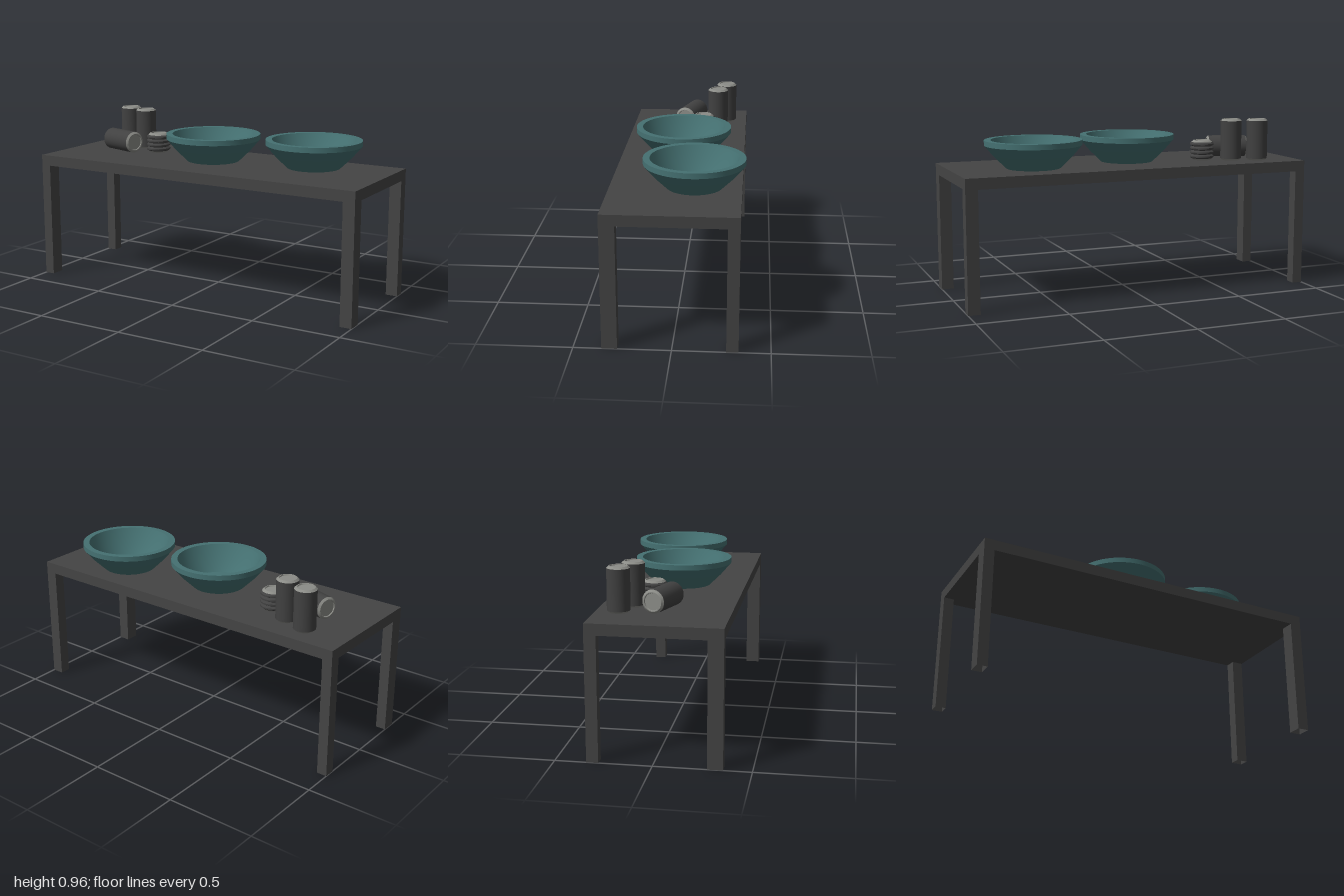
import * as THREE from 'three';
import { toCreasedNormals } from 'three/addons/utils/BufferGeometryUtils.js';

const material = (name, color, side = THREE.FrontSide) => {
  const m = new THREE.MeshStandardMaterial({ color, side });
  m.name = name;
  return m;
};

// Turned shape from [radius, y] pairs, running up the outside, with sharp profile corners
function turned(name, points, mat, segments = 32) {
  const lathe = new THREE.LatheGeometry(points.map(([r, y]) => new THREE.Vector2(r, y)), segments);
  const mesh = new THREE.Mesh(toCreasedNormals(lathe, 0.4), mat);
  mesh.name = name;
  return mesh;
}

export function createModel() {
  const model = new THREE.Group();
  const tableGrey = material('table grey', 0x444444, THREE.DoubleSide);
  const bowlTeal = material('bowl teal', 0x457172, THREE.DoubleSide);
  const canGrey = material('can grey', 0x414141);
  const lidGrey = material('lid grey', 0x8b8c87);

  // Table top
  const top = new THREE.Mesh(new THREE.BoxGeometry(2, 0.06, 0.692), tableGrey);
  top.name = 'tableTop';
  top.position.set(0, 0.69, 0.009);
  model.add(top);

  // Hollow legs, open at both ends
  for (const [x0, x1] of [[-1, -0.943], [0.933, 1]]) {
    for (const [z0, z1] of [[-0.337, -0.275], [0.275, 0.355]]) {
      const geo = new THREE.BoxGeometry(x1 - x0, 0.66, z1 - z0);
      const index = Array.from(geo.index.array);
      index.splice(12, 12);
      geo.setIndex(index);
      geo.clearGroups();
      const leg = new THREE.Mesh(geo, tableGrey);
      leg.name = 'leg';
      leg.position.set((x0 + x1) / 2, 0.33, (z0 + z1) / 2);
      model.add(leg);
    }
  }

  // Bowls with a flat rim
  const bowlProfile = [
    [0, 0], [0.148, 0], [0.212, 0.062], [0.267, 0.126], [0.267, 0.155],
    [0.232, 0.155], [0.195, 0.07], [0.153, 0.012], [0, 0.012],
  ];
  for (const [x, z] of [[-0.03, 0.007], [0.557, -0.088]]) {
    const bowl = turned('bowl', bowlProfile, bowlTeal, 64);
    bowl.position.set(x, 0.725, z);
    model.add(bowl);
  }

  // Can: a dark body between two bevelled, recessed metal ends
  function can(name, radius, height, body) {
    const group = new THREE.Group();
    group.name = name;
    const end = [[radius, -0.01], [radius - 0.011, 0], [radius - 0.016, 0], [radius - 0.018, -0.006], [0, -0.006]];
    const lid = turned('lid', end, lidGrey);
    lid.position.y = height;
    const base = turned('canBase', end, lidGrey);
    base.rotation.x = Math.PI;
    group.add(turned('canBody', body, canGrey), lid, base);
    return group;
  }
  const straight = (r, h) => [[r, 0.01], [r, h - 0.01]];

  // Two standing cans
  for (const [x, z] of [[-0.753, -0.213], [-0.61, -0.165]]) {
    const standing = can('standingCan', 0.06, 0.237, straight(0.06, 0.237));
    standing.position.set(x, 0.724, z);
    model.add(standing);
  }

  // Can lying on its side, top towards the left front
  const lying = can('lyingCan', 0.062, 0.237, straight(0.062, 0.237));
  const axis = new THREE.Vector3(0.953, 0, 0.303).normalize();
  lying.quaternion.setFromUnitVectors(new THREE.Vector3(0, 1, 0), axis);
  lying.position.set(-0.666, 0.786, 0).addScaledVector(axis, -0.1185);
  model.add(lying);

  // Crushed can with folded sides
  const folds = [[0.06, 0.01]];
  for (let i = 0; i < 4; i++) {
    const y = 0.01 + i * 0.0235;
    folds.push([0.069, y + 0.007], [0.069, y + 0.015], [i < 3 ? 0.056 : 0.06, y + 0.0235]);
  }
  const crushed = can('crushedCan', 0.06, 0.114, folds);
  crushed.position.set(-0.465, 0.722, -0.082);
  model.add(crushed);

  return model;
}
